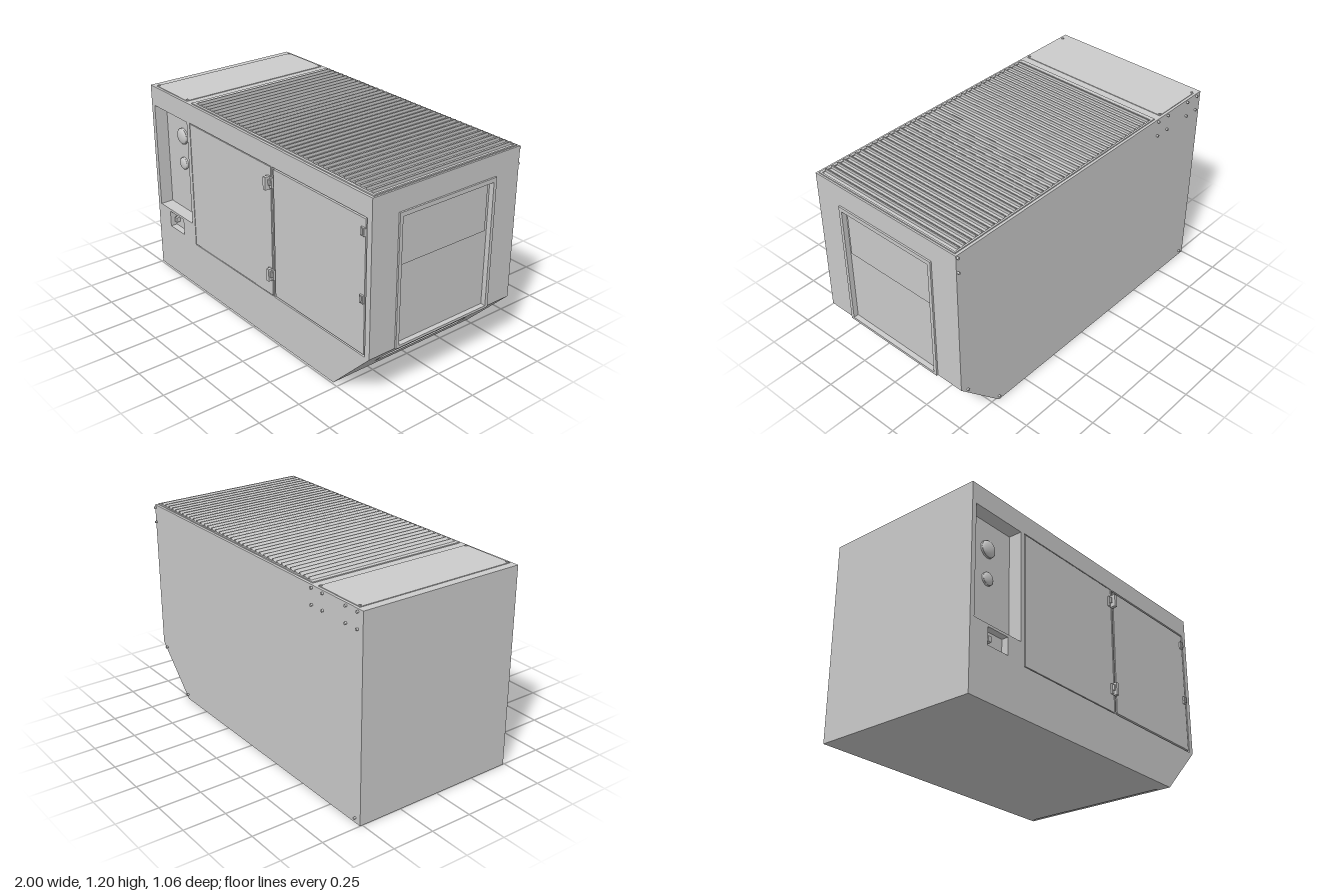
import * as THREE from 'three';

const grey = new THREE.MeshStandardMaterial({ color: 0xcccccc });

function path(points, Type = THREE.Shape) {
  return new Type(points.map(([x, y]) => new THREE.Vector2(x, y)));
}
const rect = (x0, y0, x1, y1) => [[x0, y0], [x1, y0], [x1, y1], [x0, y1]];

// Flat plate with rectangular openings, from z = 0 to z = depth
function plate(outline, holes, depth) {
  const shape = path(outline);
  for (const h of holes) shape.holes.push(path(rect(...h).reverse(), THREE.Path));
  return new THREE.ExtrudeGeometry(shape, { depth, bevelEnabled: false });
}

export function createModel() {
  const model = new THREE.Group();

  function add(name, geometry, x = 0, y = 0, z = 0, parent = model) {
    const mesh = new THREE.Mesh(geometry, grey);
    mesh.name = name;
    mesh.position.set(x, y, z);
    parent.add(mesh);
    return mesh;
  }
  // Box given by its two extreme corners
  function box(name, x0, y0, z0, x1, y1, z1, parent = model) {
    return add(name, new THREE.BoxGeometry(x1 - x0, y1 - y0, z1 - z0),
      (x0 + x1) / 2, (y0 + y1) / 2, (z0 + z1) / 2, parent);
  }

  // Housing: core, front and back plates
  const profile = [[-1, 0], [0.71, 0], [0.99, 0.285], [0.99, 1.18], [-1, 1.18]];
  const coreProfile = [[-1, 0], [0.689, 0], [0.97, 0.286], [0.97, 1.18], [-1, 1.18]];
  const controlHole = [-0.97, 0.415, -0.62, 1.06];
  const lockHole = [-0.87, 0.30, -0.72, 0.40];
  const doorHoles = [[-0.59, 0.285, 0.19, 1.065], [0.2, 0.285, 0.955, 1.065]];
  add('housingCore', plate(coreProfile, [], 0.91), 0, 0, -0.5);
  add('frontPlate', plate(profile, [controlHole, lockHole, ...doorHoles], 0.08), 0, 0, 0.41);
  add('backPlate', plate(profile, [], 0.02), 0, 0, -0.515);

  // Doors, each flush in its opening with a groove around it
  doorHoles.forEach(([x0, y0, x1, y1], i) => {
    const gap = i ? 0.01 : 0.005;
    box('doorSeal', x0, y0, 0.41, x1, y1, 0.475);
    box('door', x0 + gap, y0 + gap, 0.47, x1 - gap, y1 - gap, 0.49);
  });

  // Hinges between the doors
  for (const [y, out] of [[0.975, 0.53], [0.425, 0.52]]) {
    const hinge = new THREE.Group();
    hinge.name = 'hinge';
    model.add(hinge);
    box('hingeLeaf', 0.155, y - 0.03, 0.488, 0.205, y + 0.03, 0.5, hinge);
    box('hingeKnuckle', 0.17, y - 0.037, 0.495, 0.19, y + 0.037, out, hinge);
    box('hingeArm', 0.16, y - 0.012, 0.495, 0.2, y + 0.022, 0.512, hinge);
  }

  // Door latches
  for (const y of [0.985, 0.613]) {
    box('latch', 0.917, y - 0.023, 0.485, 0.943, y + 0.023, 0.5);
    box('latchHandle', 0.925, y - 0.014, 0.5, 0.938, y + 0.02, 0.507);
  }

  // Gauges on the recessed control panel
  for (const [y, r] of [[0.9, 0.05], [0.725, 0.038]]) {
    const rim = add('gaugeRim', new THREE.CylinderGeometry(r, r, 0.01, 32), -0.795, y, 0.415);
    rim.rotation.x = Math.PI / 2;
    const dome = add('gaugeDome',
      new THREE.SphereGeometry(r * 0.95, 32, 10, 0, Math.PI * 2, 0, Math.PI / 2), -0.795, y, 0.42);
    dome.rotation.x = Math.PI / 2;
    dome.scale.y = 0.35;
  }

  // Lock recess below the control panel
  box('lockPanel', -0.87, 0.30, 0.41, -0.72, 0.40, 0.45);
  box('lock', -0.847, 0.335, 0.45, -0.825, 0.365, 0.475);

  // End wall with framed, recessed access panel
  const opening = [-0.30, 0.30, 0.325, 1.03];
  add('endPlate', plate(rect(-0.41, 0.285, 0.495, 1.18), [opening], 0.02), 0.97)
    .rotation.y = Math.PI / 2;
  add('endFrame', plate(rect(-0.32, 0.285, 0.345, 1.055), [opening], 0.01), 0.99)
    .rotation.y = Math.PI / 2;
  box('endWindow', 0.965, 0.75, -0.305, 0.977, 1.015, 0.285);

  // Sloped lower end with a shallow slot
  const slope = new THREE.Group();
  slope.name = 'slopedEnd';
  const length = Math.hypot(0.28, 0.285);
  const up = new THREE.Vector3(0.28, 0.285, 0).normalize();
  const across = new THREE.Vector3(0, 0, -1);
  const normal = new THREE.Vector3().crossVectors(across, up);
  slope.quaternion.setFromRotationMatrix(new THREE.Matrix4().makeBasis(across, up, normal));
  slope.position.set(0.71, 0, 0);
  model.add(slope);
  add('slopePlate', plate(rect(-0.41, 0, 0.495, length), [[-0.30, 0.154, 0.32, 0.253]], 0.015),
    0, 0, -0.015, slope);

  // Roof grille: a border and a row of saw-tooth slats
  add('grilleBorder', plate(rect(-0.58, -0.475, 0.98, 0.5),
    [[-0.555, -0.46, 0.97, 0.49]], 0.006), 0, 1.18, 0).rotation.x = -Math.PI / 2;
  const slat = plate([[0, 0], [0.024, 0], [0.024, 0.016], [0.018, 0.016]], [], 0.95);
  for (let i = 0; i < 38; i++) add('slat', slat, -0.555 + i * 0.04, 1.18, -0.49);

  // Roof lid and its screws
  box('roofLid', -0.955, 1.178, -0.5, -0.63, 1.184, 0.475);
  const screw = new THREE.CylinderGeometry(0.007, 0.007, 0.014, 10);
  for (const x of [-0.945, -0.64])
    for (const z of [-0.493, 0.465]) add('lidScrew', screw, x, 1.182, z);

  // Screws on the back
  const spots = [[0.98, 1.165], [0.98, 1.075], [0.945, 0.265], [0.71, 0.03], [-0.96, 0.03]];
  for (const x of [-0.96, -0.87, -0.685, -0.595]) spots.push([x, 1.165], [x, 1.075]);
  for (const [x, y] of spots) add('backScrew', screw, x, y, -0.52).rotation.x = Math.PI / 2;

  return model;
}
